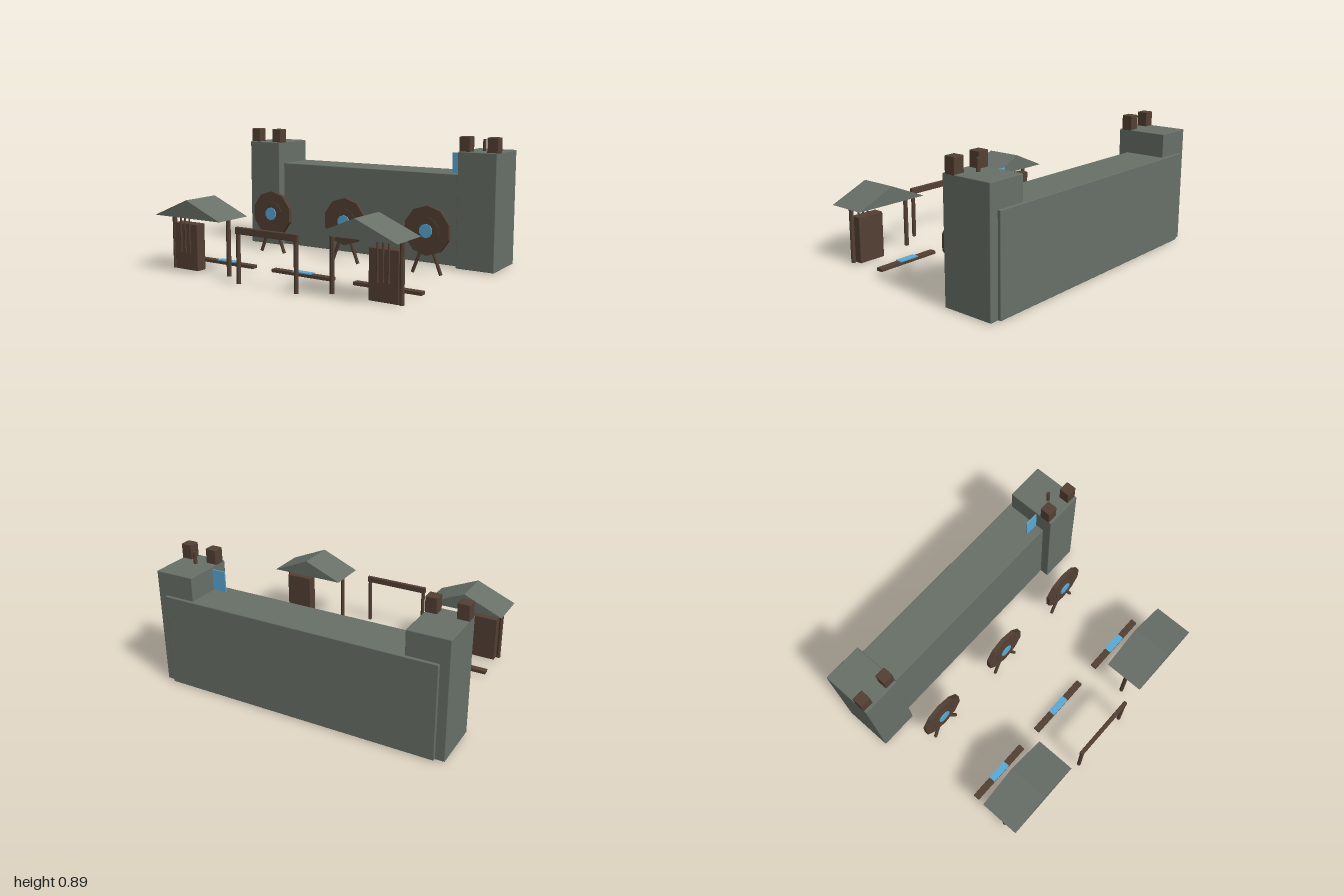
import * as THREE from 'three';
import { RoundedBoxGeometry } from 'three/addons/geometries/RoundedBoxGeometry.js';

const stone = new THREE.MeshStandardMaterial({ color: 0x687068 });
const wood = new THREE.MeshStandardMaterial({ color: 0x544034 });
const blue = new THREE.MeshStandardMaterial({ color: 0x5aa9d6 });
stone.name = 'stone';
wood.name = 'wood';
blue.name = 'blue';

// Facet a geometry so every face has its own normal
function flat(geometry) {
  const g = geometry.index ? geometry.toNonIndexed() : geometry;
  g.computeVertexNormals();
  return g;
}

function add(parent, name, geometry, material) {
  const mesh = new THREE.Mesh(geometry, material);
  mesh.name = name;
  parent.add(mesh);
  return mesh;
}

// Softly bevelled block given by its extents
function block(parent, name, material, [x0, x1], [y0, y1], [z0, z1], bevel = 0.005) {
  const g = new RoundedBoxGeometry(x1 - x0, y1 - y0, z1 - z0, 1, bevel);
  const mesh = add(parent, name, g, material);
  mesh.position.set((x0 + x1) / 2, (y0 + y1) / 2, (z0 + z1) / 2);
  return mesh;
}

// Round bar between two points
function bar(parent, name, a, b, radius, sides = 8) {
  const from = new THREE.Vector3(...a), to = new THREE.Vector3(...b);
  const dir = to.clone().sub(from);
  const mesh = add(parent, name, flat(new THREE.CylinderGeometry(radius, radius, dir.length(), sides)), wood);
  mesh.position.copy(from).add(to).multiplyScalar(0.5);
  mesh.quaternion.setFromUnitVectors(new THREE.Vector3(0, 1, 0), dir.normalize());
  return mesh;
}

function group(parent, name, x = 0) {
  const g = new THREE.Group();
  g.name = name;
  g.position.x = x;
  parent.add(g);
  return g;
}

// Ten-sided disc facing the front
function disc(parent, name, material, radius, z0, z1) {
  const g = new THREE.CylinderGeometry(radius, radius, z1 - z0, 10);
  g.rotateX(Math.PI / 2);
  add(parent, name, flat(g), material).position.set(0, 0.288, (z0 + z1) / 2);
}

function buildFort(parent) {
  const fort = group(parent, 'fort');
  block(fort, 'wall', stone, [-0.94, 0.94], [0.006, 0.63], [-0.742, -0.44]);
  for (const s of [-1, 1]) {
    const tower = group(fort, s < 0 ? 'rightTower' : 'leftTower', s * 0.865);
    block(tower, 'towerBody', stone, [-0.135, 0.135], [0.006, 0.788], [-0.723, -0.377]);
    for (const x of [-0.097, 0.097]) {
      block(tower, 'merlon', wood, [x - 0.038, x + 0.038], [0.78, 0.886], [-0.468, -0.394]);
    }
  }
  // Flag and its pole on one tower
  bar(fort, 'flagPole', [0.86, 0.78, -0.511], [0.86, 0.868, -0.511], 0.012);
  const flag = add(fort, 'flag', new THREE.BoxGeometry(0.225, 0.14, 0.008), blue);
  flag.position.set(0.748, 0.7, -0.505);
}

function buildTarget(parent, x) {
  const target = group(parent, 'target', x);
  disc(target, 'targetDisc', wood, 0.165, -0.172, -0.142);
  disc(target, 'targetRing', wood, 0.092, -0.145, -0.137);
  disc(target, 'bullseye', blue, 0.047, -0.138, -0.129);
  for (const s of [-1, 1]) {
    bar(target, 'targetLeg', [s * 0.103, 0.003, -0.156], [s * 0.042, 0.16, -0.156], 0.012);
  }
}

function buildShootingLine(parent, x) {
  const line = group(parent, 'shootingLine', x);
  block(line, 'plank', wood, [-0.235, 0.235], [0.005, 0.028], [0.328, 0.374], 0.003);
  const mark = add(line, 'lineMark', new THREE.BoxGeometry(0.148, 0.008, 0.048), blue);
  mark.position.set(0, 0.03, 0.351);
}

function buildHut(parent, s) {
  const hut = group(parent, s < 0 ? 'rightHut' : 'leftHut', s * 0.627);
  // Solid gable roof
  const gable = new THREE.Shape([
    new THREE.Vector2(-0.274, 0.378),
    new THREE.Vector2(0.274, 0.378),
    new THREE.Vector2(0, 0.495),
  ]);
  const roof = new THREE.ExtrudeGeometry(gable, { depth: 0.273, bevelEnabled: false });
  add(hut, 'roof', roof, stone).position.z = 0.471;
  for (const x of [-0.232, 0.232]) {
    bar(hut, 'hutPost', [x, 0.005, 0.61], [x, 0.38, 0.61], 0.015);
  }
  // Rack board with upright rods on its front
  const c = s * 0.121;
  block(hut, 'rackBoard', wood, [c - 0.098, c + 0.098], [0.006, 0.317], [0.55, 0.625]);
  for (const x of [-0.037, 0, 0.037]) {
    bar(hut, 'rackRod', [c + x, 0.122, 0.63], [c + x, 0.38, 0.63], 0.006, 6);
  }
}

function buildGate(parent) {
  const gate = group(parent, 'gate');
  for (const x of [-0.218, 0.218]) {
    bar(gate, 'gatePost', [x, 0.005, 0.726], [x, 0.34, 0.726], 0.014);
  }
  block(gate, 'gateBeam', wood, [-0.235, 0.235], [0.317, 0.361], [0.713, 0.739]);
}

export function createModel() {
  const model = new THREE.Group();
  model.name = 'archeryRange';
  buildFort(model);
  for (const x of [-0.627, 0, 0.627]) {
    buildTarget(model, x);
    buildShootingLine(model, x);
  }
  buildHut(model, -1);
  buildHut(model, 1);
  buildGate(model);
  return model;
}
